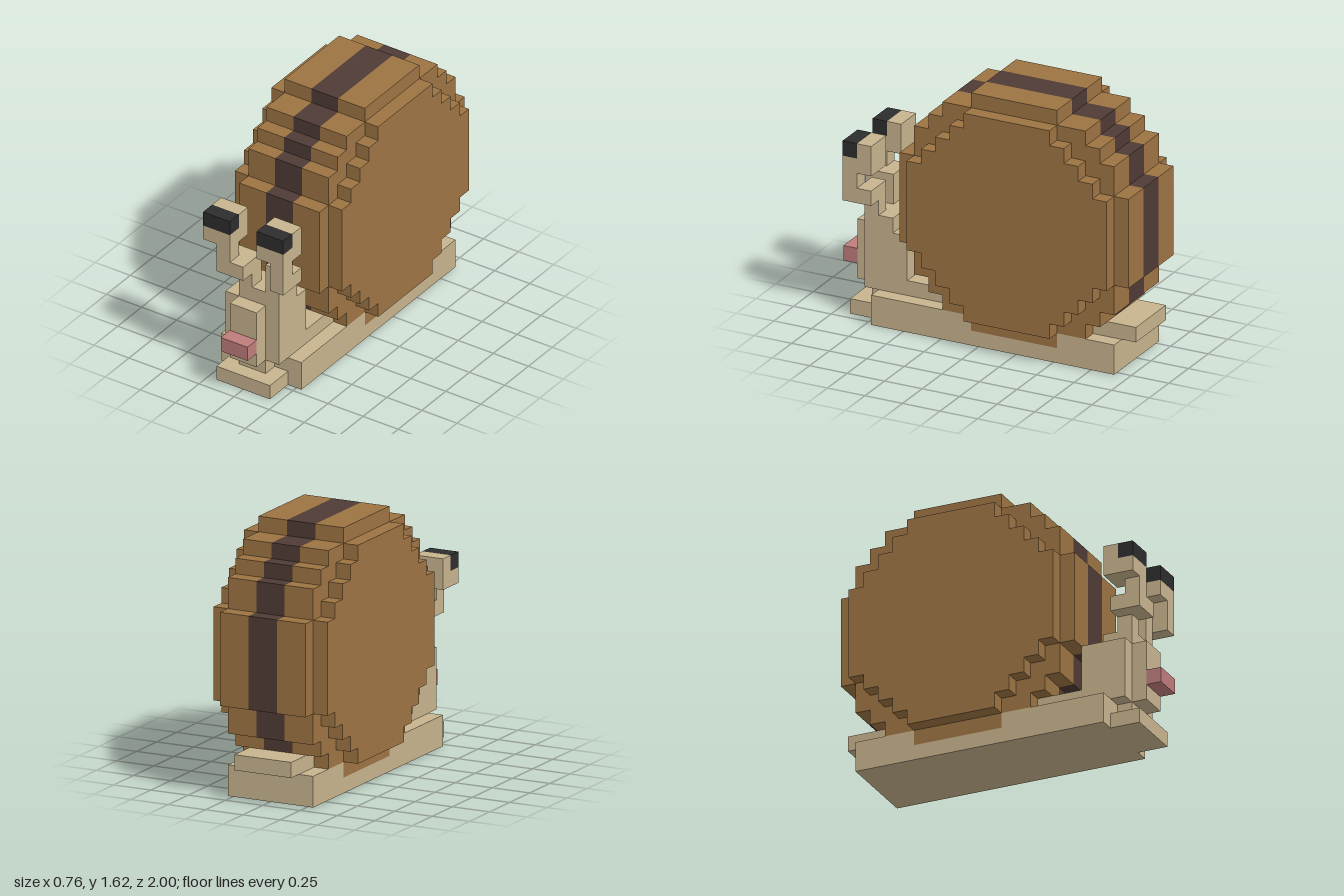
import * as THREE from 'three';

const U = 2 / 21; // one block

const mat = (name, color) => {
  const m = new THREE.MeshStandardMaterial({ color });
  m.name = name;
  return m;
};

export function createModel() {
  const group = new THREE.Group();
  const skin = mat('skin beige', 0xc8b48e);
  const shellBrown = mat('shell brown', 0x9d7443);
  const stripeBrown = mat('stripe dark brown', 0x4f3b35);
  const eyeBlack = mat('eye black', 0x2d2d2d);
  const pink = mat('mouth pink', 0xbf7c7c);

  // Box between block coordinates; z is counted forward from the back end
  const block = (name, material, [x0, x1], [y0, y1], [z0, z1]) => {
    const geo = new THREE.BoxGeometry((x1 - x0) * U, (y1 - y0) * U, (z1 - z0) * U);
    const mesh = new THREE.Mesh(geo, material);
    mesh.position.set((x0 + x1) / 2 * U, (y0 + y1) / 2 * U, (z0 + z1) / 2 * U - 1);
    mesh.name = name;
    group.add(mesh);
  };

  // Stepped disc, given as half widths per row, extruded from x0 to x1
  const disc = (name, material, halves, bottom, x0, x1) => {
    const pts = [];
    halves.forEach((h, i) => {
      if (h !== halves[i - 1]) pts.push([h, bottom + i]);
      if (h !== halves[i + 1]) pts.push([h, bottom + i + 1]);
    });
    const left = pts.map(([h, y]) => [-h, y]).reverse();
    const shape = new THREE.Shape([...pts, ...left].map(([z, y]) => new THREE.Vector2(z * U, y * U)));
    const geo = new THREE.ExtrudeGeometry(shape, { depth: (x1 - x0) * U, bevelEnabled: false });
    geo.rotateY(Math.PI / 2);
    const mesh = new THREE.Mesh(geo, material);
    mesh.position.set(x0 * U, 0, 8 * U - 1);
    mesh.name = name;
    group.add(mesh);
  };

  // Shell: striped core and a smaller disc on each side
  const core = [3, 5, 6, 7, 7, 8, 8, 8, 8, 8, 8, 7, 7, 6, 5, 3];
  const side = [3, 4, 5, 6, 7, 7, 7, 7, 7, 7, 6, 5, 4, 3];
  disc('shellStripe', stripeBrown, core, 1, -1, 1);
  disc('shellCoreLeft', shellBrown, core, 1, 1, 3);
  disc('shellCoreRight', shellBrown, core, 1, -3, -1);
  disc('shellSideLeft', shellBrown, side, 2, 3, 4);
  disc('shellSideRight', shellBrown, side, 2, -4, -3);

  // Foot, leaving room for the bottom of the shell
  block('foot', skin, [-3, 3], [0, 1], [1, 18]);
  block('footBack', skin, [-3, 3], [1, 2], [1, 5]);
  block('footFront', skin, [-3, 3], [1, 2], [11, 18]);
  block('footTip', skin, [-2, 2], [0, 1], [18, 20]);
  block('tail', skin, [-2, 2], [2, 3], [0, 3]);

  // Neck and head
  block('throat', skin, [-1, 1], [1, 2], [18, 19]);
  block('neck', skin, [-2, 2], [2, 3], [13, 16]);
  block('head', skin, [-2, 2], [2, 6], [16, 19]);
  block('face', skin, [-1, 1], [2, 6], [19, 20]);
  block('mouth', pink, [-1, 1], [3, 4], [20, 21]);
  block('crown', skin, [-1, 2], [6, 7], [17, 19]);

  // Bent eye stalks
  block('rightStalkBase', skin, [-1, 0], [7, 8], [18, 19]);
  block('rightStalkBend', skin, [-2, 0], [8, 9], [18, 20]);
  block('rightStalkTop', skin, [-2, -1], [9, 10], [19, 20]);
  block('leftStalkBase', skin, [1, 2], [7, 9], [18, 19]);
  block('leftStalkBend', skin, [2, 3], [8, 9], [18, 20]);
  block('leftStalkTop', skin, [2, 3], [9, 10], [19, 20]);

  // Eyes
  for (const [sideName, x] of [['left', [1, 3]], ['right', [-3, -1]]]) {
    block(sideName + 'EyeSocket', skin, x, [10, 11], [18, 20]);
    block(sideName + 'EyeBack', skin, x, [11, 12], [18, 19]);
    block(sideName + 'Eye', eyeBlack, x, [11, 12], [19, 20]);
  }
  return group;
}
